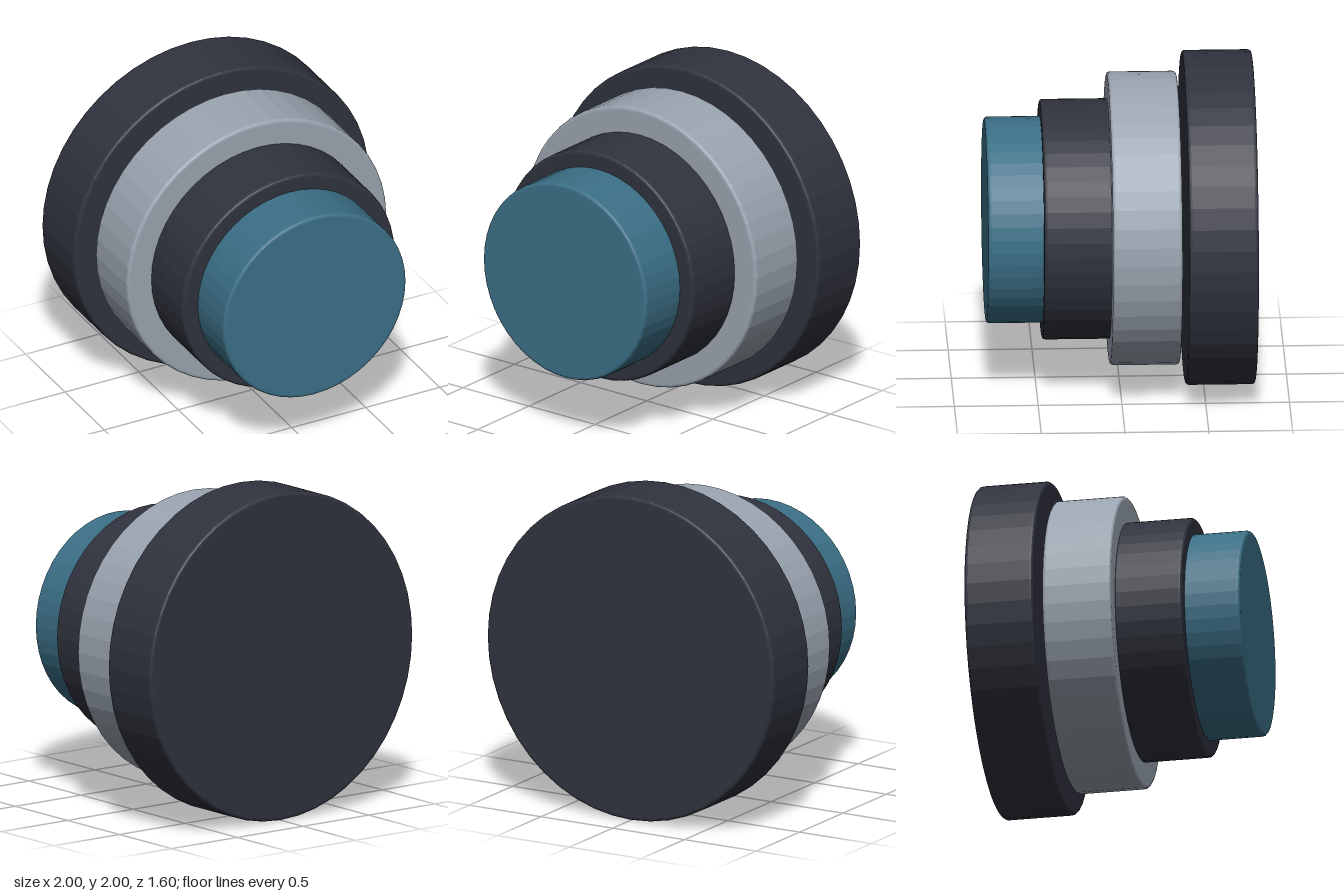
import * as THREE from 'three';

const SIDES = 48;
const BEVEL = 0.02;

// Faceted disc facing +z between two depths, with softly rounded rims
function disc(name, radius, zBack, zFront, color) {
  const profile = [new THREE.Vector2(0, zBack)];
  const corner = (z, start) => {
    for (let i = 0; i <= 3; i++) {
      const a = start + (i / 3) * Math.PI / 2;
      profile.push(new THREE.Vector2(
        radius - BEVEL + BEVEL * Math.cos(a),
        z + BEVEL * Math.sin(a)));
    }
  };
  corner(zBack + BEVEL, -Math.PI / 2);
  corner(zFront - BEVEL, 0);
  profile.push(new THREE.Vector2(0, zFront));

  const geometry = new THREE.LatheGeometry(profile, SIDES);
  geometry.rotateX(Math.PI / 2);
  const material = new THREE.MeshStandardMaterial({ color, flatShading: true });
  const mesh = new THREE.Mesh(geometry, material);
  mesh.name = name;
  mesh.position.y = 1;
  return mesh;
}

export function createModel() {
  const group = new THREE.Group();
  group.name = 'steppedDiscs';
  group.add(
    // Wide base disc, separated from the rest by a narrow gap
    disc('backDisc', 1, -0.8, -0.385, 0x30333e),
    disc('silverRing', 0.877, -0.35, 0.065, 0x9aa4b0),
    disc('innerRing', 0.718, 0.05, 0.468, 0x30333e),
    // Coloured front face, seated in the inner ring
    disc('frontDisc', 0.617, 0.39, 0.8, 0x3b6f86)
  );
  return group;
}
